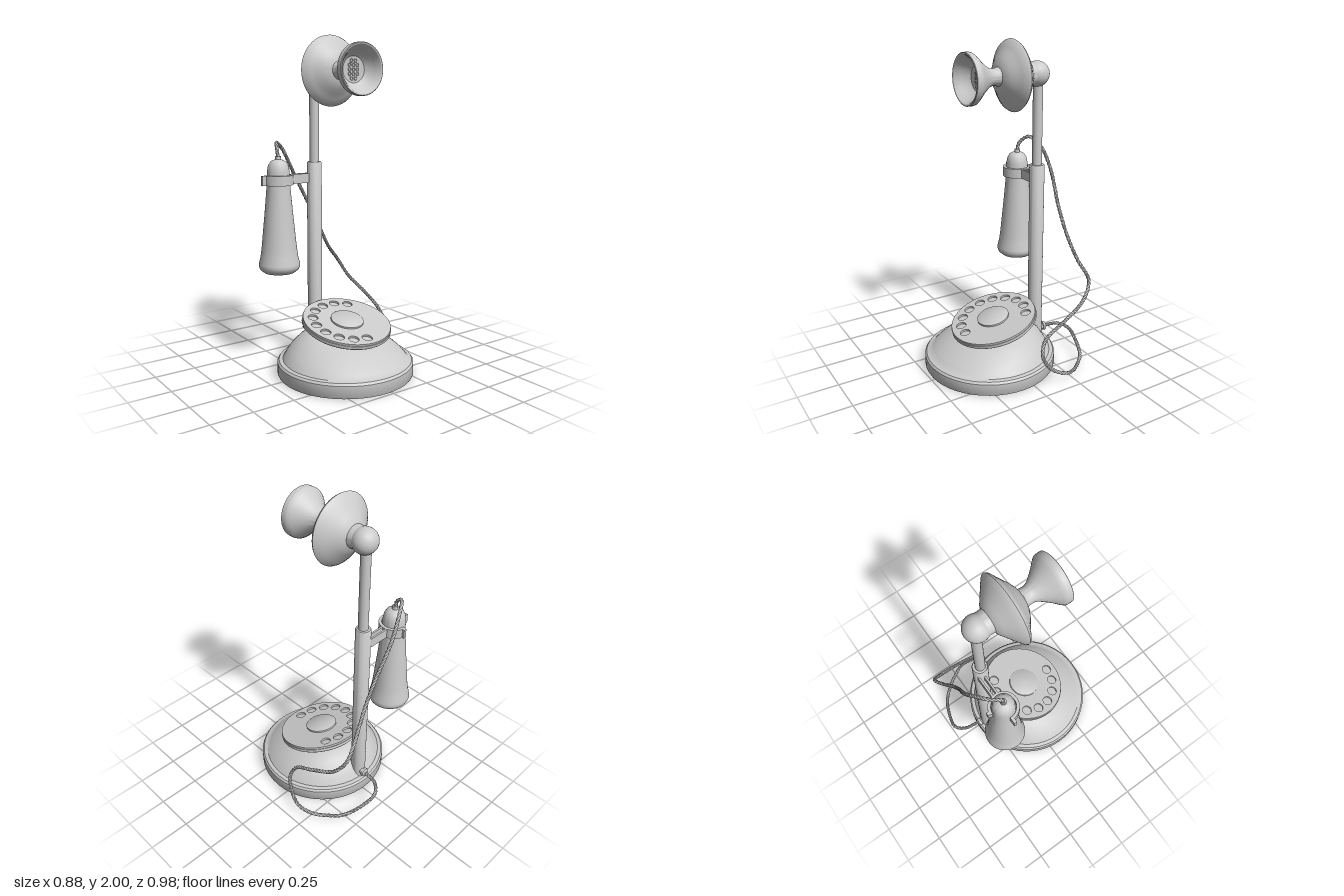
import * as THREE from 'three';
import { toCreasedNormals } from 'three/addons/utils/BufferGeometryUtils.js';

const V = (x, y, z) => new THREE.Vector3(x, y, z);
const material = new THREE.MeshStandardMaterial({ color: 0xcccccc });
const POST_X = -0.02, POST_Z = -0.262, HEAD_Y = 1.795;

function add(parent, name, geometry, x = 0, y = 0, z = 0) {
  const mesh = new THREE.Mesh(geometry, material);
  mesh.name = name;
  mesh.position.set(x, y, z);
  parent.add(mesh);
  return mesh;
}

// Turned part from [radius, height] pairs, listed from the bottom up
function turned(profile, segments = 48) {
  const points = profile.map(([r, y]) => new THREE.Vector2(r, y));
  return toCreasedNormals(new THREE.LatheGeometry(points, segments), 0.6);
}

const cylinder = (r, h, segments = 32) => new THREE.CylinderGeometry(r, r, h, segments);

// Round base whose dome slopes down towards the front
function makeBase() {
  const geo = new THREE.LatheGeometry([
    [0, 0], [0.405, 0], [0.41, 0.01], [0.41, 0.075], [0.4, 0.088], [0.377, 0.092], [0.355, 0.122],
    [0.33, 0.15], [0.28, 0.19], [0.23, 0.218], [0.19, 0.23], [0.15, 0.235], [0, 0.235],
  ].map(([r, y]) => new THREE.Vector2(r, y)), 48);
  const p = geo.attributes.position;
  for (let i = 0; i < p.count; i++) {
    const t = THREE.MathUtils.clamp((p.getY(i) - 0.092) / 0.13, 0, 1);
    p.setY(i, p.getY(i) - p.getZ(i) * 0.15 * t);
  }
  return toCreasedNormals(geo, 0.6);
}

// Tilted dial with a ring of finger holes
function makeDial() {
  const dial = new THREE.Group();
  dial.name = 'dial';
  add(dial, 'dialNeck', cylinder(0.12, 0.08), 0, -0.05, 0);
  add(dial, 'dialBack', turned([[0, -0.018], [0.266, -0.018], [0.272, -0.012], [0.272, 0.006], [0, 0.006]]));
  const plate = new THREE.Shape().absarc(0, 0, 0.268, 0, Math.PI * 2);
  for (let i = 0; i < 10; i++) {
    const a = THREE.MathUtils.degToRad(90 - 24 * i);
    plate.holes.push(new THREE.Path().absarc(-0.207 * Math.cos(a), -0.207 * Math.sin(a), 0.031, 0, Math.PI * 2, true));
  }
  const plateGeo = new THREE.ExtrudeGeometry(plate, { depth: 0.012, bevelEnabled: false, curveSegments: 24 });
  add(dial, 'fingerPlate', toCreasedNormals(plateGeo.rotateX(-Math.PI / 2), 0.6), 0, 0.006, 0);
  add(dial, 'dialCentre', turned([[0.1, 0.016], [0.1, 0.028], [0.094, 0.032], [0, 0.032]]));
  dial.position.set(-0.004, 0.293, 0.058);
  dial.rotation.x = THREE.MathUtils.degToRad(14.5);
  return dial;
}

// Speaking head, turned around the z axis
function makeHead() {
  const head = new THREE.Group();
  head.name = 'speakingHead';
  add(head, 'swivelBall', new THREE.SphereGeometry(0.075, 32, 20), 0, 0, -0.25);
  const body = turned([
    [0, -0.23], [0.065, -0.23], [0.068, -0.182], [0.09, -0.172], [0.112, -0.155], [0.135, -0.138], [0.17, -0.112],
    [0.2, -0.088], [0.207, -0.078], [0.2, -0.066], [0.165, -0.045], [0.135, -0.025], [0.11, -0.006],
    [0.075, 0.012], [0.055, 0.016], [0.05, 0.03], [0, 0.03],
  ]);
  add(head, 'transmitterBody', body.rotateX(Math.PI / 2));
  const cup = turned([
    [0.055, 0.015], [0.05, 0.03], [0.048, 0.06], [0.058, 0.085], [0.08, 0.115], [0.108, 0.148], [0.132, 0.172],
    [0.146, 0.19], [0.148, 0.2], [0.148, 0.225], [0.144, 0.228], [0.136, 0.225],
    [0.115, 0.195], [0.098, 0.165], [0.075, 0.145], [0, 0.14],
  ]);
  add(head, 'mouthpiece', cup.rotateX(Math.PI / 2));
  // Small perforations at the bottom of the cup
  for (let row = -2; row <= 2; row++) {
    const n = Math.abs(row) === 2 ? 2 : 3;
    for (let i = 0; i < n; i++) {
      add(head, 'mouthpieceHole', new THREE.TorusGeometry(0.009, 0.003, 6, 12), (i - (n - 1) / 2) * 0.027, row * 0.025, 0.144);
    }
  }
  head.position.set(POST_X, HEAD_Y, 0);
  return head;
}

// Hook: open ring with outward tips, carried by a double arm
function makeHook() {
  const hook = new THREE.Group();
  hook.name = 'hook';
  const ring = new THREE.Shape();
  ring.moveTo(-0.115, -0.01);
  ring.lineTo(-0.115, 0.008);
  ring.lineTo(-0.072, 0.008);
  ring.absarc(0, 0, 0.072, Math.PI, Math.PI * 2.5, false);
  ring.lineTo(0.008, 0.1);
  ring.lineTo(0.026, 0.1);
  ring.lineTo(0.026, 0.086);
  ring.absarc(0, 0, 0.09, Math.PI * 0.41, -Math.PI * 0.96, true);
  const geo = new THREE.ExtrudeGeometry(ring, { depth: 0.06, bevelEnabled: false, curveSegments: 32 });
  add(hook, 'hookRing', toCreasedNormals(geo.rotateX(-Math.PI / 2), 0.6), 0, -0.03, 0);
  for (const z of [-0.016, 0.016]) {
    add(hook, 'hookArm', new THREE.BoxGeometry(0.17, 0.058, 0.012), 0.16, 0, z);
  }
  hook.position.set(-0.27, 1.15, -0.277);
  return hook;
}

// Twisted cord: three strands wound around one centre line
function makeCord() {
  const cord = new THREE.Group();
  cord.name = 'cord';
  const path = new THREE.CatmullRomCurve3([
    V(-0.27, 1.27, -0.277), V(-0.268, 1.33, -0.29), V(-0.24, 1.37, -0.345), V(-0.17, 1.32, -0.388),
    V(-0.09, 1.19, -0.41), V(0.03, 0.955, -0.4), V(0.12, 0.79, -0.408), V(0.2, 0.66, -0.43),
    V(0.29, 0.555, -0.45), V(0.33, 0.45, -0.38), V(0.355, 0.36, -0.22), V(0.362, 0.28, -0.085),
    V(0.385, 0.19, -0.05), V(0.412, 0.11, -0.09), V(0.433, 0.06, -0.18), V(0.4, 0.035, -0.27),
    V(0.335, 0.035, -0.36), V(0.27, 0.04, -0.42), V(0.15, 0.075, -0.47), V(0.06, 0.11, -0.482),
    V(0.005, 0.135, -0.43), V(-0.013, 0.138, -0.32),
  ]);
  const steps = 500;
  const frames = path.computeFrenetFrames(steps);
  for (let s = 0; s < 3; s++) {
    const points = [];
    for (let i = 0; i <= steps; i++) {
      const a = i / steps * 2 * Math.PI * 36 + s * 2 * Math.PI / 3;
      points.push(path.getPointAt(i / steps)
        .addScaledVector(frames.normals[i], 0.0055 * Math.cos(a))
        .addScaledVector(frames.binormals[i], 0.0055 * Math.sin(a)));
    }
    const strand = new THREE.CatmullRomCurve3(points);
    strand.arcLengthDivisions = 1000;
    add(cord, 'cordStrand', new THREE.TubeGeometry(strand, 700, 0.0062, 6));
  }
  return cord;
}

export function createModel() {
  const model = new THREE.Group();
  model.name = 'candlestickTelephone';
  add(model, 'base', makeBase(), -0.026, 0, 0.076);
  model.add(makeDial());

  // Two-stage post
  add(model, 'lowerPost', turned([[0, 0.09], [0.046, 0.09], [0.046, 1.243], [0.042, 1.25], [0, 1.25]], 32), POST_X, 0, POST_Z);
  add(model, 'upperPost', cylinder(0.03, 0.55), POST_X, 1.5, POST_Z + 0.002);
  model.add(makeHead());

  // Hanging receiver
  add(model, 'receiver', turned([
    [0, 0.574], [0.06, 0.575], [0.095, 0.582], [0.118, 0.6], [0.127, 0.622], [0.125, 0.638], [0.115, 0.68],
    [0.108, 0.73], [0.098, 0.83], [0.086, 0.95], [0.076, 1.06], [0.07, 1.13], [0.068, 1.2], [0.062, 1.235],
    [0.048, 1.26], [0.03, 1.27], [0.018, 1.273], [0.017, 1.292], [0, 1.292],
  ]), -0.27, 0, -0.277);
  model.add(makeHook());

  // Cord and its socket at the back of the base
  const socket = turned([[0, -0.06], [0.02, -0.06], [0.02, 0], [0.028, 0.002], [0.028, 0.018], [0.018, 0.024], [0, 0.024]], 24);
  add(model, 'cordSocket', socket.rotateX(-Math.PI / 2), -0.013, 0.138, -0.315);
  model.add(makeCord());
  return model;
}
